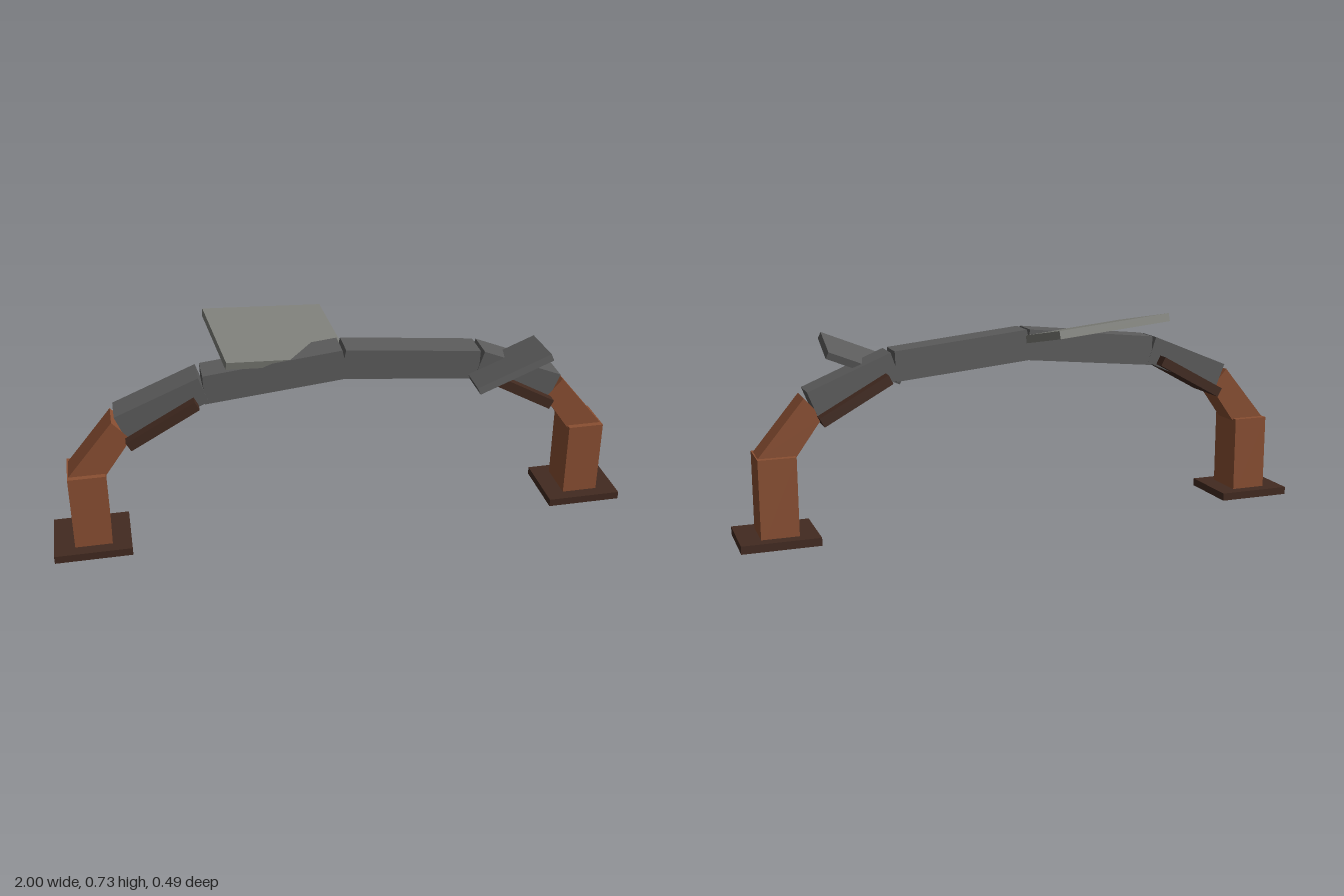
import * as THREE from 'three';

const mat = (color) => new THREE.MeshStandardMaterial({ color, flatShading: true, side: THREE.DoubleSide });
const clay = mat(0x8a4f32);
const darkClay = mat(0x422a20);
const stone = mat(0x5c5c5c);
const paleStone = mat(0x7d7e78);

// Block with an outline in x/y, running from z0 to z1
function block(name, points, z0, z1, material) {
  const shape = new THREE.Shape(points.map(([x, y]) => new THREE.Vector2(x, y)));
  const geo = new THREE.ExtrudeGeometry(shape, { depth: z1 - z0, bevelEnabled: false });
  geo.translate(0, 0, z0);
  const mesh = new THREE.Mesh(geo, material);
  mesh.name = name;
  return mesh;
}

// Tilted slab given by a top corner, two top edges and a thickness
function slab(name, corner, edgeU, edgeV, thickness, material) {
  const c = new THREE.Vector3(...corner);
  const u = new THREE.Vector3(...edgeU);
  const v = new THREE.Vector3(...edgeV);
  const n = new THREE.Vector3().crossVectors(v, u).normalize().multiplyScalar(thickness);
  const geo = new THREE.BoxGeometry(1, 1, 1).translate(0.5, -0.5, 0.5);
  geo.applyMatrix4(new THREE.Matrix4().makeBasis(u, n, v).setPosition(c));
  const mesh = new THREE.Mesh(geo, material);
  mesh.name = name;
  return mesh;
}

function box(name, size, position, material) {
  const mesh = new THREE.Mesh(new THREE.BoxGeometry(...size), material);
  mesh.position.set(...position);
  mesh.name = name;
  return mesh;
}

export function createModel() {
  const model = new THREE.Group();
  model.name = 'brokenArch';

  // Both halves of the arch
  for (const [side, s] of [['right', -1], ['left', 1]]) {
    const half = new THREE.Group();
    half.name = side + 'Half';
    const m = (pts) => pts.map(([x, y]) => [s * x, y]);
    half.add(
      box('basePlate', [0.26, 0.027, 0.23], [s * 0.87, 0.022, 0.035], darkClay),
      box('pillar', [0.125, 0.297, 0.145], [s * 0.867, 0.151, 0.035], clay),
      block('lowerArchBlock', m([[0.925, 0.3], [0.77, 0.487], [0.712, 0.42], [0.81, 0.283], [0.83, 0.25], [0.9, 0.25]]), -0.016, 0.088, clay),
      block('middleArchBlock', m([[0.76, 0.505], [0.482, 0.619], [0.452, 0.53], [0.722, 0.41]]), -0.018, 0.088, stone),
      block('upperArchBlock', m([[0.468, 0.622], [0.006, 0.67], [0, 0.64], [0, 0.565], [0.464, 0.52]]), -0.017, 0.085, stone),
      // Wide strip under the middle block
      block('supportStrip', m([[0.73, 0.425], [0.5, 0.552], [0.485, 0.522], [0.714, 0.395]]), -0.058, 0.124, darkClay),
    );
    model.add(half);
  }

  // Loose slabs lying across the arch
  model.add(
    slab('largeSlab', [-0.43, 0.73, -0.21], [0.41, -0.035, -0.035], [0.04, -0.06, 0.31], 0.027, paleStone),
    slab('smallSlab', [0.435, 0.527, 0.012], [0.245, 0.1, 0], [-0.02, 0.035, 0.222], 0.024, stone),
  );
  return model;
}
